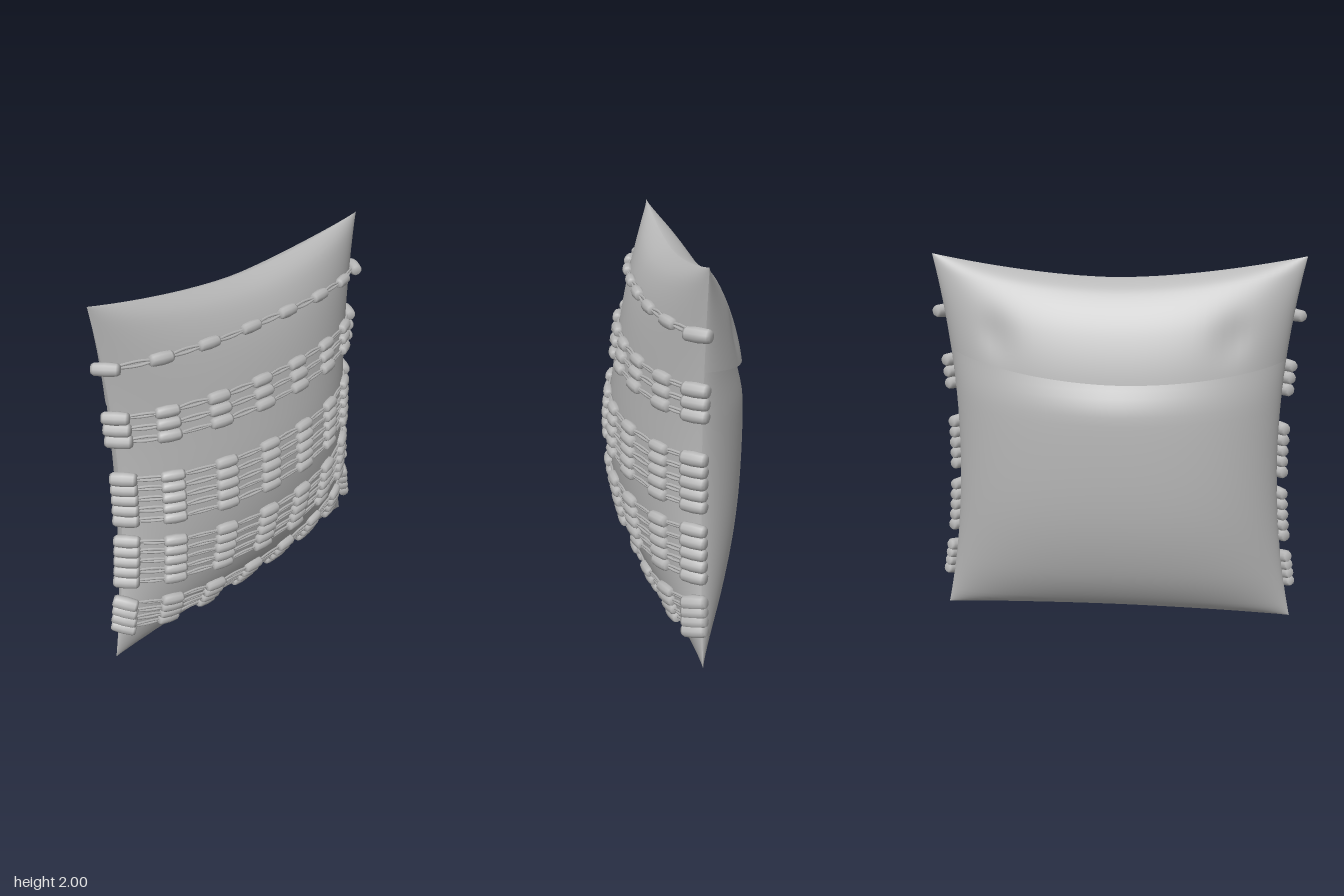
import * as THREE from 'three';
import { ParametricGeometry } from 'three/addons/geometries/ParametricGeometry.js';

const SEAM_Z = -0.03;
const { clamp, smoothstep } = THREE.MathUtils;

// Smooth depth from bottom to top; values bunch towards both ends so the edges stay full
function profile(values) {
  const curve = new THREE.SplineCurve(values.map((d, i) => new THREE.Vector2(i, d)));
  return (v) => curve.getPoint(Math.acos(1 - 2 * clamp(v, 0, 1)) / Math.PI).y;
}

// Cushion outline: pinched sides, dipped top, nearly straight bottom
const halfWidth = (v) => 0.87 + 0.108 * (2 * v - 1) ** 2;
const topY = (u) => 1.885 + 0.115 * Math.abs(u) ** 1.7;
const bottomY = (u) => 0.03 - 0.03 * u * u;
const frontDepth = profile([0, 0.1, 0.235, 0.32, 0.338, 0.288, 0.22, 0.125, 0]);
const backDepth = profile([0, 0.11, 0.22, 0.293, 0.318, 0.305, 0.237, 0.125, 0]);

const frontZ = (u, v) => SEAM_Z + frontDepth(v) * Math.max(0, 1 - u * u) ** 0.66;
const backZ = (u, v, extra) =>
  SEAM_Z - Math.max(0, backDepth(v) + extra) * Math.max(0, 1 - Math.abs(u) ** 3) ** 0.65;

function place(u, v, z, target = new THREE.Vector3()) {
  const low = bottomY(u);
  return target.set(u * halfWidth(v), low + (topY(u) - low) * v, z);
}

// Point on the front cloth at a given u and height y, lifted outwards
function onFront(u, y, lift) {
  const low = bottomY(u);
  const v = clamp((y - low) / (topY(u) - low), 0, 1);
  const at = (a, b) => place(a, b, frontZ(a, b));
  const e = 0.01;
  const across = at(Math.min(u + e, 1), v).sub(at(Math.max(u - e, -1), v));
  const up = at(u, Math.min(v + e, 1)).sub(at(u, Math.max(v - e, 0)));
  return at(u, v).addScaledVector(across.cross(up).normalize(), lift);
}

// Cloth panel; columns gather towards the side seams
function panel(name, material, startV, endV, depth, flip) {
  const geometry = new ParametricGeometry((s, t, target) => {
    const u = Math.sin((s - 0.5) * Math.PI) * (flip ? -1 : 1);
    const v0 = startV(u);
    const v = v0 + (endV - v0) * (0.5 - 0.5 * Math.cos(t * Math.PI));
    place(u, v, depth(u, v), target);
  }, 48, 40);
  geometry.computeVertexNormals();
  const mesh = new THREE.Mesh(geometry, material);
  mesh.name = name;
  return mesh;
}

export function createModel() {
  const model = new THREE.Group();
  model.name = 'beadedCushion';
  const cloth = new THREE.MeshStandardMaterial({ color: 0xb8b8b8, side: THREE.DoubleSide });
  cloth.name = 'grey';

  // Front, lower back tucked under the flap, and the overlapping flap
  model.add(panel('frontPanel', cloth, () => 0, 1, frontZ, false));
  model.add(panel('backPanel', cloth, () => 0, 0.8, (u, v) => {
    const tuck = smoothstep(v, 0.63, 0.76) * (0.025 + 0.03 * Math.exp(-10 * u * u));
    return backZ(u, v, -tuck);
  }, true));
  model.add(panel('backFlap', cloth, (u) => 0.725 + 0.02 * u * u + 0.01 * u, 1, (u, v) => {
    const crease = 0.025 * Math.exp(-(((Math.abs(u) - 0.68) / 0.1) ** 2) - ((v - 0.82) / 0.06) ** 2);
    return backZ(u, v, 0.01 * (1 - smoothstep(v, 0.74, 0.95)) - crease);
  }, true));

  // Bead shape: a short barrel with rounded ends
  const beadGeometry = new THREE.LatheGeometry(
    [[0, -0.06], [0.021, -0.06], [0.028, -0.048], [0.031, 0], [0.028, 0.048], [0.021, 0.06], [0, 0.06]]
      .map(([r, y]) => new THREE.Vector2(r, y)), 10);

  let seed = 7;
  const random = () => (seed = (seed * 16807) % 2147483647) / 2147483647;
  const columns = [-0.68, -0.41, -0.13, 0.145, 0.43, 0.7];
  const up = new THREE.Vector3(0, 1, 0);

  // Bands: height at the sides, row count, row spacing, sag in the middle
  const bands = [
    { y: 1.695, rows: 1, step: 0, sag: 0 },
    { y: 1.43, rows: 3, step: 0.064, sag: 0 },
    { y: 1.085, rows: 5, step: 0.06, sag: 0.005 },
    { y: 0.72, rows: 5, step: 0.06, sag: 0.045 },
    { y: 0.345, rows: 4, step: 0.048, sag: 0.085 },
  ];

  bands.forEach((band, b) => {
    const group = new THREE.Group();
    group.name = 'beadBand' + (b + 1);
    for (let r = 0; r < band.rows; r++) {
      const rowY = band.y - r * band.step;
      const width = halfWidth(rowY / 1.95);
      const heightAt = (u) => rowY - band.sag * (1 - u * u);
      const us = columns.map((x) => x / width);
      const side = (s) => new THREE.Vector3(s * (width + 0.002), rowY, 0.008);
      const centres = [side(-1), ...us.map((u) => onFront(u, heightAt(u), 0.012)), side(1)];

      // Beads follow the run of the cloth; those at the sides are bigger
      centres.forEach((centre, i) => {
        const atSide = i === 0 || i === centres.length - 1;
        const dir = atSide
          ? new THREE.Vector3(i === 0 ? 0.6 : -0.6, band.sag > 0.05 ? -0.25 : 0, 0.8)
          : centres[i + 1].clone().sub(centres[i - 1]);
        const bead = new THREE.Mesh(beadGeometry, cloth);
        bead.name = 'bead';
        bead.position.copy(centre);
        bead.quaternion.setFromUnitVectors(up, dir.normalize());
        const girth = (atSide ? 1.1 : 0.95) + 0.12 * random();
        bead.scale.set(girth, atSide ? 1.1 : 1, girth);
        group.add(bead);
      });

      // Two loose threads per row, spreading between the beads
      for (const spread of [-1, 1]) {
        const points = [];
        centres.forEach((centre, i) => {
          points.push(centre);
          if (i === centres.length - 1) return;
          const ua = i === 0 ? -0.97 : us[i - 1];
          const ub = i === centres.length - 2 ? 0.97 : us[i];
          const mid = (ua + ub) / 2;
          const offset = spread * (0.004 + 0.01 * random());
          points.push(onFront(mid, heightAt(mid) + offset, 0.006));
        });
        const thread = new THREE.Mesh(
          new THREE.TubeGeometry(new THREE.CatmullRomCurve3(points), 56, 0.007, 5), cloth);
        thread.name = 'thread';
        group.add(thread);
      }
    }
    model.add(group);
  });

  return model;
}
